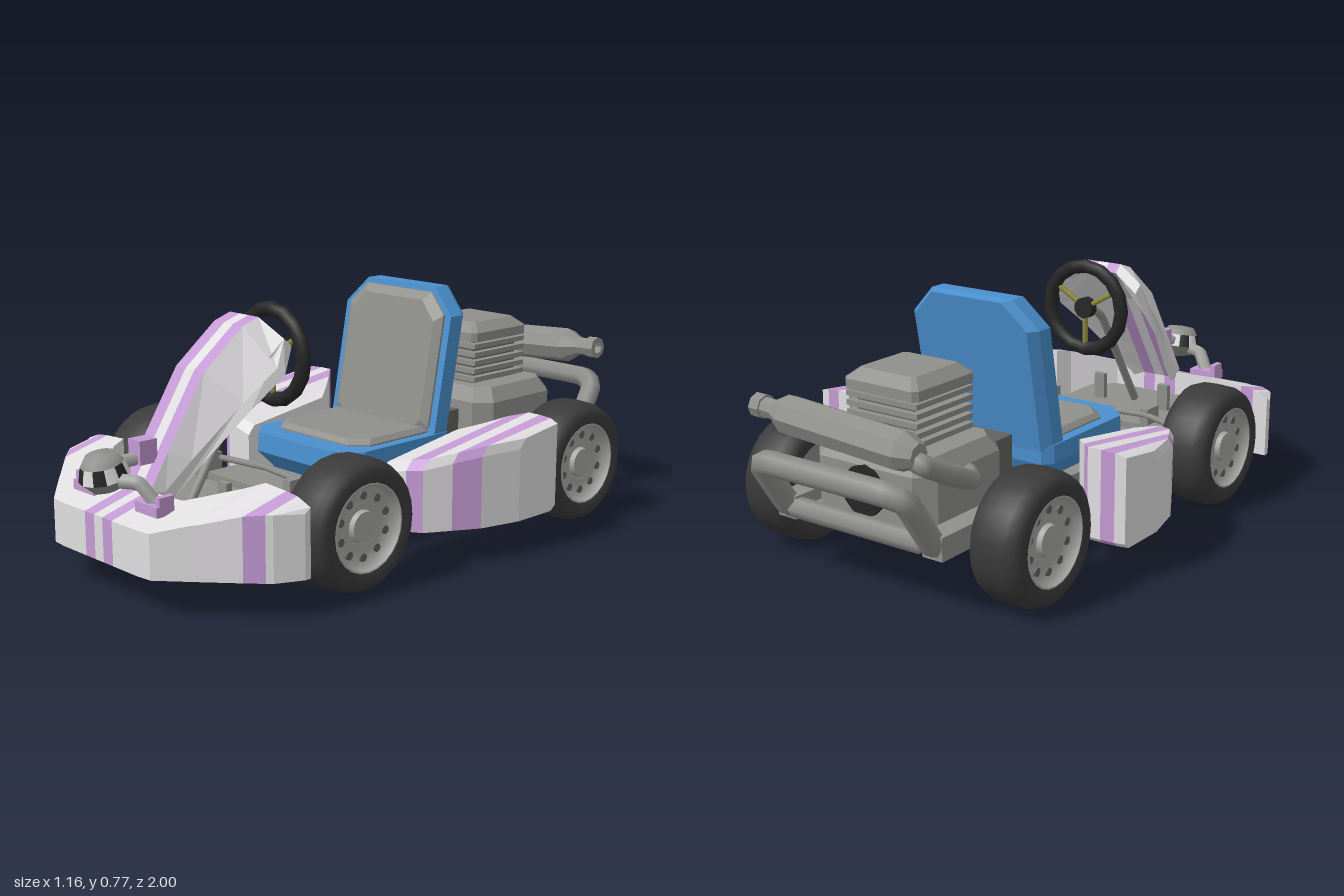
import * as THREE from 'three';

const V = (x, y, z) => new THREE.Vector3(x, y, z);
const mat = (name, color) => Object.assign(new THREE.MeshStandardMaterial({ color }), { name });

export function createModel() {
  const root = new THREE.Group();
  root.name = 'goKart';
  const white = mat('white bodywork', 0xe0dee0), purple = mat('purple stripe', 0xc49ad4);
  const blue = mat('blue seat shell', 0x4a90cf), gray = mat('gray metal', 0x8f8f8c);
  const light = mat('light rim', 0xa6a6a4), rubber = mat('tyre rubber', 0x3a3a3a);
  const black = mat('black trim', 0x262626), olive = mat('olive spokes', 0x8c8a40);
  const dark = mat('dark gray', 0x62625f);

  const add = (name, geo, m, x = 0, y = 0, z = 0, parent = root) => {
    const mesh = new THREE.Mesh(geo, m);
    mesh.name = name;
    mesh.position.set(x, y, z);
    parent.add(mesh);
    return mesh;
  };
  const box = (name, m, w, h, d, x, y, z) => add(name, new THREE.BoxGeometry(w, h, d), m, x, y, z);

  // Faceted closed body through matching loops; bands picks a material for each span
  function loft(name, loops, mats, bands = []) {
    const spans = [], caps = [];
    for (let i = 0; i < loops.length - 1; i++) {
      const A = loops[i], B = loops[i + 1], n = A.length, t = [];
      for (let j = 0; j < n; j++) {
        const k = (j + 1) % n;
        t.push(A[j], A[k], B[k], A[j], B[k], B[j]);
      }
      spans.push({ t, m: bands[i] || 0 });
    }
    const a = loops[0], b = loops[loops.length - 1];
    for (let j = 1; j < a.length - 1; j++) caps.push(a[0], a[j + 1], a[j], b[0], b[j], b[j + 1]);
    spans.push({ t: caps, m: 0 });
    let volume = 0;
    const all = spans.flatMap(s => s.t);
    for (let i = 0; i < all.length; i += 3) volume += all[i].dot(all[i + 1].clone().cross(all[i + 2]));
    if (volume < 0) for (let i = 0; i < all.length; i += 3) [all[i + 1], all[i + 2]] = [all[i + 2], all[i + 1]];
    const geo = new THREE.BufferGeometry().setFromPoints(all);
    let start = 0;
    for (const s of spans) { geo.addGroup(start, s.t.length, s.m); start += s.t.length; }
    geo.computeVertexNormals();
    return add(name, geo, mats);
  }
  const tube = (name, m, pts, r, sides = 8) => add(name, new THREE.TubeGeometry(
    new THREE.CatmullRomCurve3(pts.map(p => V(...p)), false, 'catmullrom', 0.15), pts.length * 6, r, sides), m);
  // Chamfered rectangle: half width w, from b0 to b1, corner cuts c0 and c1
  const octagon = (w, b0, b1, c0, c1, f) => [[-w + c0, b0], [w - c0, b0], [w, b0 + c0], [w, b1 - c1],
    [w - c1, b1], [-w + c1, b1], [-w, b1 - c1], [-w, b0 + c0]].map(([a, b]) => f(a, b));
  const flat = (w, z0, z1, c0, c1, y) => octagon(w, z0, z1, c0, c1, (x, z) => V(x, y, z));

  // Floor, rails and axles
  box('floor', gray, 0.5, 0.035, 1.6, 0, 0.185, 0);
  for (const s of [-1, 1]) {
    box('rearRail', gray, 0.07, 0.07, 0.62, s * 0.27, 0.205, -0.53);
    box('steeringBracket', gray, 0.03, 0.09, 0.07, s * 0.2, 0.235, 0.39);
    box('pedal', gray, 0.04, 0.09, 0.02, s * 0.13, 0.25, 0.6);
    tube('tieRod', gray, [[s * 0.36, 0.23, 0.36], [s * 0.2, 0.26, 0.36], [0, 0.26, 0.33]], 0.01, 6);
  }
  box('frontAxle', gray, 0.8, 0.05, 0.06, 0, 0.2, 0.385);
  box('rearAxle', gray, 0.8, 0.06, 0.07, 0, 0.2, -0.6);
  box('crossBar', gray, 0.6, 0.05, 0.05, 0, 0.185, -0.24);

  // Wheels
  const lathe = (pts, n) => new THREE.LatheGeometry(pts.map(p => new THREE.Vector2(...p)), n);
  for (const s of [-1, 1]) for (const z of [0.39, -0.6]) {
    const wheel = new THREE.Group();
    wheel.name = z > 0 ? 'frontWheel' : 'rearWheel';
    wheel.position.set(s * 0.4275, 0.197, z);
    wheel.rotation.z = -s * Math.PI / 2;
    root.add(wheel);
    add('tyre', lathe([[0.125, -0.075], [0.135, -0.084], [0.165, -0.087], [0.185, -0.072], [0.195, -0.045],
      [0.197, 0], [0.195, 0.045], [0.185, 0.072], [0.165, 0.087], [0.135, 0.084], [0.125, 0.075]], 28), rubber, 0, 0, 0, wheel);
    add('rim', lathe([[0, -0.04], [0.118, -0.04], [0.128, -0.08]], 24), gray, 0, 0, 0, wheel);
    add('rim', lathe([[0.132, 0.082], [0.124, 0.084], [0.115, 0.05], [0.068, 0.06], [0.06, 0.05], [0, 0.05]], 24), light, 0, 0, 0, wheel);
    add('hub', new THREE.CylinderGeometry(0.045, 0.05, 0.02, 16), light, 0, 0.056, 0, wheel);
    for (let i = 0; i < 10; i++) {
      const a = i * Math.PI / 5;
      add('rimHole', new THREE.CylinderGeometry(0.013, 0.013, 0.008, 8), dark,
        Math.cos(a) * 0.092, 0.056, Math.sin(a) * 0.092, wheel);
    }
  }

  // Front bumper: columns of [x, front z, front top, inner z, inner top]
  const half = [[0.02, 0.95, 0.24, 0.79, 0.285], [0.065, 0.95, 0.24, 0.79, 0.285], [0.18, 0.95, 0.24, 0.79, 0.29],
    [0.23, 0.945, 0.24, 0.745, 0.305], [0.31, 0.875, 0.265, 0.675, 0.33], [0.335, 0.853, 0.27, 0.62, 0.34],
    [0.42, 0.777, 0.295, 0.62, 0.335], [0.465, 0.735, 0.3, 0.62, 0.33], [0.48, 0.72, 0.3, 0.62, 0.325], [0.518, 0.64, 0.295, 0.62, 0.31]];
  const cols = [...half.map(([x, ...r]) => [-x, ...r]).reverse(), ...half];
  loft('frontBumper', cols.map(([x, zf, yf, zi, yi]) =>
    [V(x, 0.108, zf), V(x, yf, zf), V(x, yi, zi), V(x, 0.108, zi)]), [white, purple],
  cols.slice(1).map((c, i) => {
    const m = Math.abs(c[0] + cols[i][0]) / 2;
    return (m > 0.02 && m < 0.06) || (m > 0.42 && m < 0.465) ? 1 : 0;
  }));

  // Side pods: columns of [x, front z, front top, rear z, rear top]
  const pod = [[0.31, 0.14, 0.3, -0.19, 0.345], [0.365, 0.14, 0.315, -0.26, 0.365], [0.41, 0.14, 0.325, -0.315, 0.385],
    [0.455, 0.115, 0.33, -0.365, 0.397], [0.5, 0.035, 0.345, -0.365, 0.397], [0.545, -0.045, 0.36, -0.362, 0.395],
    [0.578, -0.18, 0.365, -0.355, 0.385]];
  for (const s of [-1, 1]) {
    loft('sidePod', pod.map(([x, zf, yf, zr, yr]) => [V(s * x, 0.108, zf), V(s * x, yf - 0.03, zf),
      V(s * x, yf, zf - 0.025), V(s * x, yr, zr), V(s * x, 0.125, zr), V(s * x, 0.108, zr + 0.02)]),
    [white, purple], [0, 0, 1, 0, 1, 0]);
  }

  // Nose panel: crest [y, z] and edge [x, y, z] stations, striped lengthwise
  const crest = [[0.745, 0.41], [0.725, 0.47], [0.61, 0.615], [0.4, 0.75], [0.29, 0.82]];
  const edge = [[0.155, 0.69, 0.39], [0.17, 0.61, 0.43], [0.145, 0.52, 0.54], [0.095, 0.37, 0.69], [0.075, 0.29, 0.77]];
  const noseCol = (x, s = 1) => {
    const top = crest.map(([y, z], i) => x ? V(x, y, z) : V(s * edge[i][0], edge[i][1], edge[i][2]));
    return [...top, ...top.map(p => V(p.x, p.y - 0.025, p.z - 0.03)).reverse()];
  };
  loft('nosePanel', [noseCol(0, -1), noseCol(-0.065), noseCol(-0.02), noseCol(0.02), noseCol(0.065), noseCol(0, 1)],
    [white, purple], [0, 1, 0, 1, 0]);

  // Front lamp with checkered band, arms and purple mounts
  const lamp = new THREE.Group();
  lamp.name = 'frontLamp';
  lamp.position.set(0, 0.36, 0.925);
  lamp.rotation.x = 0.2;
  root.add(lamp);
  add('lampBowl', lathe([[0, -0.055], [0.045, -0.045], [0.074, -0.012]], 12), gray, 0, 0, 0, lamp);
  add('lampCap', lathe([[0.062, 0.03], [0.045, 0.055], [0, 0.06]], 12), gray, 0, 0, 0, lamp);
  for (let i = 0; i < 12; i++) {
    add('lampChecker', new THREE.CylinderGeometry(0.062, 0.074, 0.042, 1, 1, true, i * Math.PI / 6, Math.PI / 6),
      i % 2 ? black : white, 0, 0.009, 0, lamp);
  }
  for (const s of [-1, 1]) {
    tube('lampArm', light, [[s * 0.06, 0.345, 0.91], [s * 0.11, 0.345, 0.885], [s * 0.15, 0.29, 0.86]], 0.022, 6);
    box('lampMount', purple, 0.1, 0.03, 0.06, s * 0.15, 0.28, 0.865);
    box('lampMountTab', purple, 0.02, 0.05, 0.05, s * 0.19, 0.295, 0.86);
  }
  box('lampTab', purple, 0.055, 0.07, 0.06, 0, 0.4, 0.79);
  tube('lampStem', light, [[0, 0.38, 0.77], [0, 0.38, 0.88]], 0.02, 6);

  // Steering wheel and column
  add('steeringWheel', new THREE.TorusGeometry(0.14, 0.023, 8, 16), black, 0, 0.61, 0.3);
  add('steeringHub', new THREE.CylinderGeometry(0.035, 0.035, 0.03, 10), black, 0, 0.61, 0.3).rotation.x = Math.PI / 2;
  for (const a of [Math.PI / 6, Math.PI * 5 / 6, -Math.PI / 2])
    tube('steeringSpoke', olive, [[0, 0.61, 0.3], [Math.cos(a) * 0.135, 0.61 + Math.sin(a) * 0.135, 0.3]], 0.009, 6);
  tube('steeringColumn', gray, [[0, 0.61, 0.31], [0, 0.56, 0.4], [0, 0.22, 0.62]], 0.014, 6);

  // Seat
  loft('seatPan', [flat(0.2, -0.22, 0.17, 0.03, 0.06, 0.2), flat(0.24, -0.25, 0.22, 0.03, 0.07, 0.26),
    flat(0.24, -0.25, 0.215, 0.03, 0.07, 0.32)], blue);
  loft('seatCushion', [flat(0.205, -0.2, 0.135, 0.02, 0.05, 0.31), flat(0.205, -0.2, 0.135, 0.02, 0.05, 0.325),
    flat(0.19, -0.2, 0.12, 0.02, 0.05, 0.34)], gray);
  const back = (w, y0, y1, c, off) => octagon(w, y0, y1, 0.02, c,
    (x, y) => V(x, y, -0.165 - (y - 0.3) * 0.19 + off));
  loft('seatBack', [back(0.235, 0.25, 0.772, 0.085, 0), back(0.235, 0.25, 0.772, 0.085, -0.055),
    back(0.21, 0.26, 0.765, 0.08, -0.085)], blue);
  loft('backCushion', [back(0.21, 0.32, 0.755, 0.065, -0.01), back(0.21, 0.32, 0.755, 0.065, 0.008),
    back(0.185, 0.34, 0.73, 0.06, 0.025)], gray);

  // Engine with cooling fins
  loft('engineBlock', [flat(0.22, -0.8, -0.42, 0.05, 0.05, 0.19), flat(0.22, -0.8, -0.42, 0.05, 0.05, 0.37),
    flat(0.19, -0.77, -0.45, 0.04, 0.04, 0.415)], gray);
  box('engineCore', dark, 0.21, 0.17, 0.21, 0, 0.48, -0.6);
  for (let i = 0; i < 5; i++) box('coolingFin', gray, 0.26, 0.016, 0.25, 0, 0.432 + i * 0.028, -0.6);
  loft('engineHead', [flat(0.135, -0.735, -0.465, 0.015, 0.015, 0.56), flat(0.135, -0.735, -0.465, 0.015, 0.015, 0.59),
    flat(0.1, -0.7, -0.5, 0.01, 0.01, 0.62)], gray);
  add('engineFan', new THREE.CylinderGeometry(0.075, 0.075, 0.03, 12), black, 0, 0.3, -0.8).rotation.x = Math.PI / 2;
  box('driveCover', dark, 0.22, 0.14, 0.18, 0, 0.27, -0.35);

  // Exhaust and rear guard
  const muffler = add('muffler', lathe([[0, -0.27], [0.035, -0.27], [0.058, -0.22], [0.058, 0.2], [0.03, 0.25],
    [0.03, 0.29], [0.036, 0.29], [0.036, 0.325], [0.02, 0.325], [0.02, 0.3], [0, 0.3]], 8).toNonIndexed(), gray, 0, 0.495, -0.885);
  muffler.geometry.computeVertexNormals();
  muffler.rotation.z = -Math.PI / 2 + 0.06;
  tube('exhaustPipe', gray, [[-0.22, 0.475, -0.885], [-0.275, 0.45, -0.875], [-0.285, 0.4, -0.78],
    [-0.265, 0.345, -0.66], [-0.18, 0.34, -0.58]], 0.03, 8);
  tube('rearGuard', gray, [[0.27, 0.205, -0.74], [0.27, 0.205, -0.83], [0.265, 0.36, -0.935], [0.2, 0.385, -0.965],
    [-0.2, 0.385, -0.965], [-0.265, 0.36, -0.935], [-0.27, 0.205, -0.83], [-0.27, 0.205, -0.74]], 0.036, 6);
  tube('lowerRearBar', gray, [[-0.27, 0.205, -0.83], [0.27, 0.205, -0.83]], 0.032, 6);
  return root;
}
